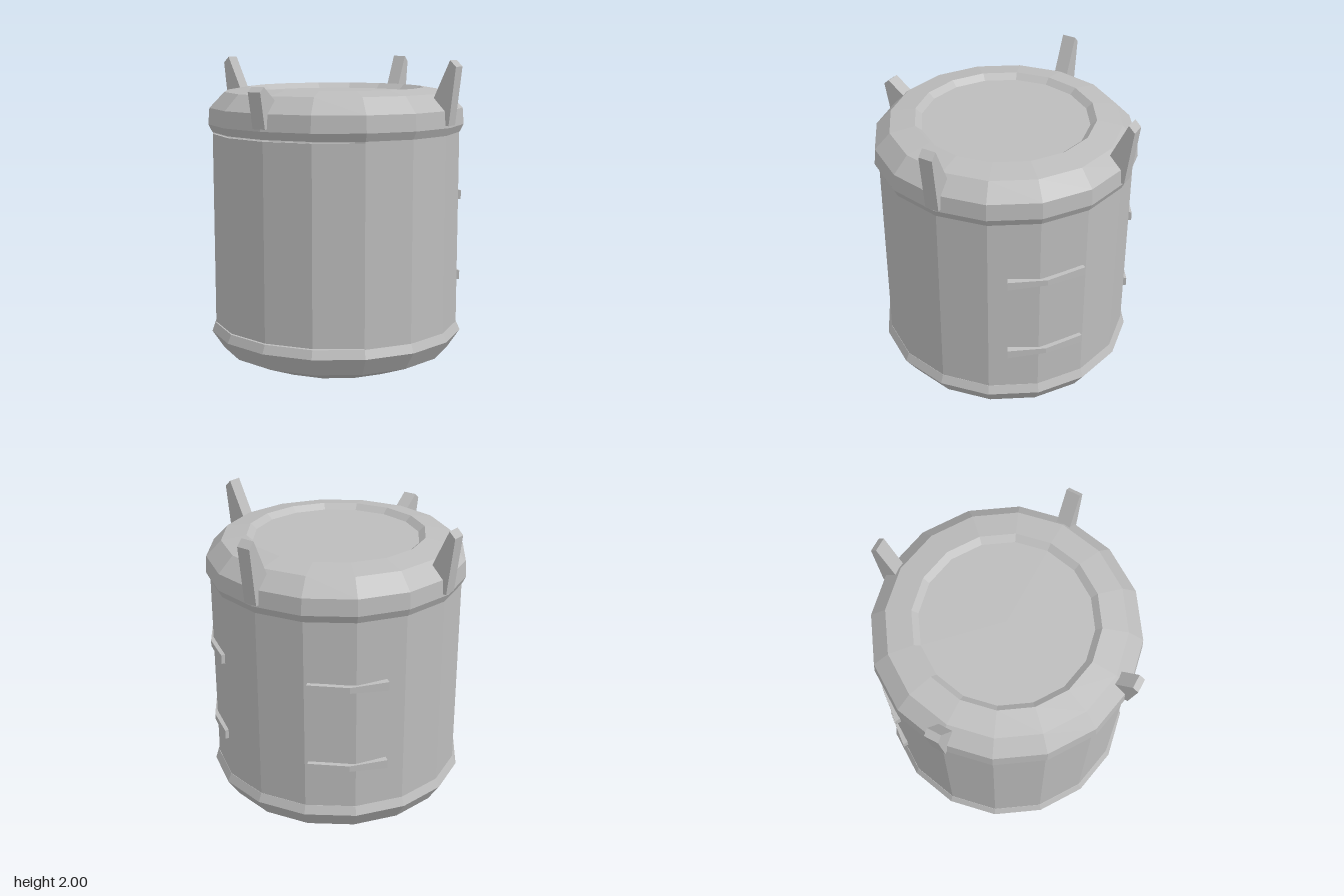
import * as THREE from 'three';

const SIDES = 16;

export function createModel() {
  const model = new THREE.Group();
  const grey = new THREE.MeshStandardMaterial({ color: 0xbcbcbc, flatShading: true, side: THREE.DoubleSide });
  grey.name = 'metal grey';

  const add = (name, geometry) => {
    const mesh = new THREE.Mesh(geometry, grey);
    mesh.name = name;
    model.add(mesh);
    return mesh;
  };

  // Faceted shell turned from [radius, height] points; angle 0 faces the front
  const turned = (points, start = 0, length = Math.PI * 2) =>
    new THREE.LatheGeometry(points.map(([r, y]) => new THREE.Vector2(r, y)),
      Math.round(SIDES * length / (Math.PI * 2)), start, length);

  // Tapered base
  add('base', turned([[0, 0], [0.51, 0], [0.755, 0.1], [0.835, 0.22], [0.81, 0.275], [0, 0.275]]));

  // Wall, open across the front quarter
  add('wall', turned([[0.808, 0.275], [0.808, 1.535]], Math.PI / 4, Math.PI * 1.5));

  // Curved door with a narrow gap above and below
  add('door', turned([[0.79, 0.282], [0.808, 0.282], [0.808, 1.524], [0.79, 1.524], [0.79, 0.282]],
    -Math.PI / 4, Math.PI / 2));

  // Lid with a shallow recess
  add('lid', turned([[0, 1.535], [0.81, 1.535], [0.835, 1.585], [0.827, 1.69], [0.73, 1.79],
    [0.57, 1.817], [0.53, 1.782], [0, 1.782]]));

  // Upright fins on the lid rim, the front one shorter
  const fin = (name, angle, outer, tip) => {
    const shape = new THREE.Shape([[0.76, 1.6], [0.845, 1.6], outer, tip, [0.74, 1.765]]
      .map(([x, y]) => new THREE.Vector2(x, y)));
    const geometry = new THREE.ExtrudeGeometry(shape, { depth: 0.09, bevelEnabled: false });
    geometry.translate(0, 0, -0.045);
    add(name, geometry).rotation.y = angle;
  };
  const tall = [[0.888, 1.96], [0.848, 2]];
  fin('leftFin', 0, ...tall);
  fin('backFin', Math.PI / 2, ...tall);
  fin('rightFin', Math.PI, ...tall);
  fin('frontFin', -Math.PI / 2, [0.888, 1.82], [0.85, 1.85]);

  // Bent grab bars on the back corners: three cross-sections along the wall
  const grabBar = (angles, y) => {
    const positions = [], index = [];
    angles.forEach((degrees, i) => {
      const a = THREE.MathUtils.degToRad(degrees);
      const h = i === 1 ? 0.024 : 0.036;
      for (const [r, dy] of [[0.78, -h], [0.828, -h * 0.8], [0.828, h * 0.8], [0.78, h]]) {
        positions.push(r * Math.sin(a), y + dy, r * Math.cos(a));
      }
    });
    for (let i = 0; i < 2; i++) {
      for (let k = 0; k < 4; k++) {
        const a = i * 4 + k, d = i * 4 + (k + 1) % 4;
        index.push(a, a + 4, d, a + 4, d + 4, d);
      }
    }
    index.push(0, 1, 2, 0, 2, 3, 8, 10, 9, 8, 11, 10);
    const geometry = new THREE.BufferGeometry();
    geometry.setAttribute('position', new THREE.Float32BufferAttribute(positions, 3));
    geometry.setIndex(index);
    geometry.computeVertexNormals();
    return geometry;
  };
  for (const [level, y] of [['lower', 0.563], ['upper', 1.106]]) {
    add(`${level}LeftGrabBar`, grabBar([121, 138, 156], y));
    add(`${level}RightGrabBar`, grabBar([204, 222, 239], y));
  }

  return model;
}
